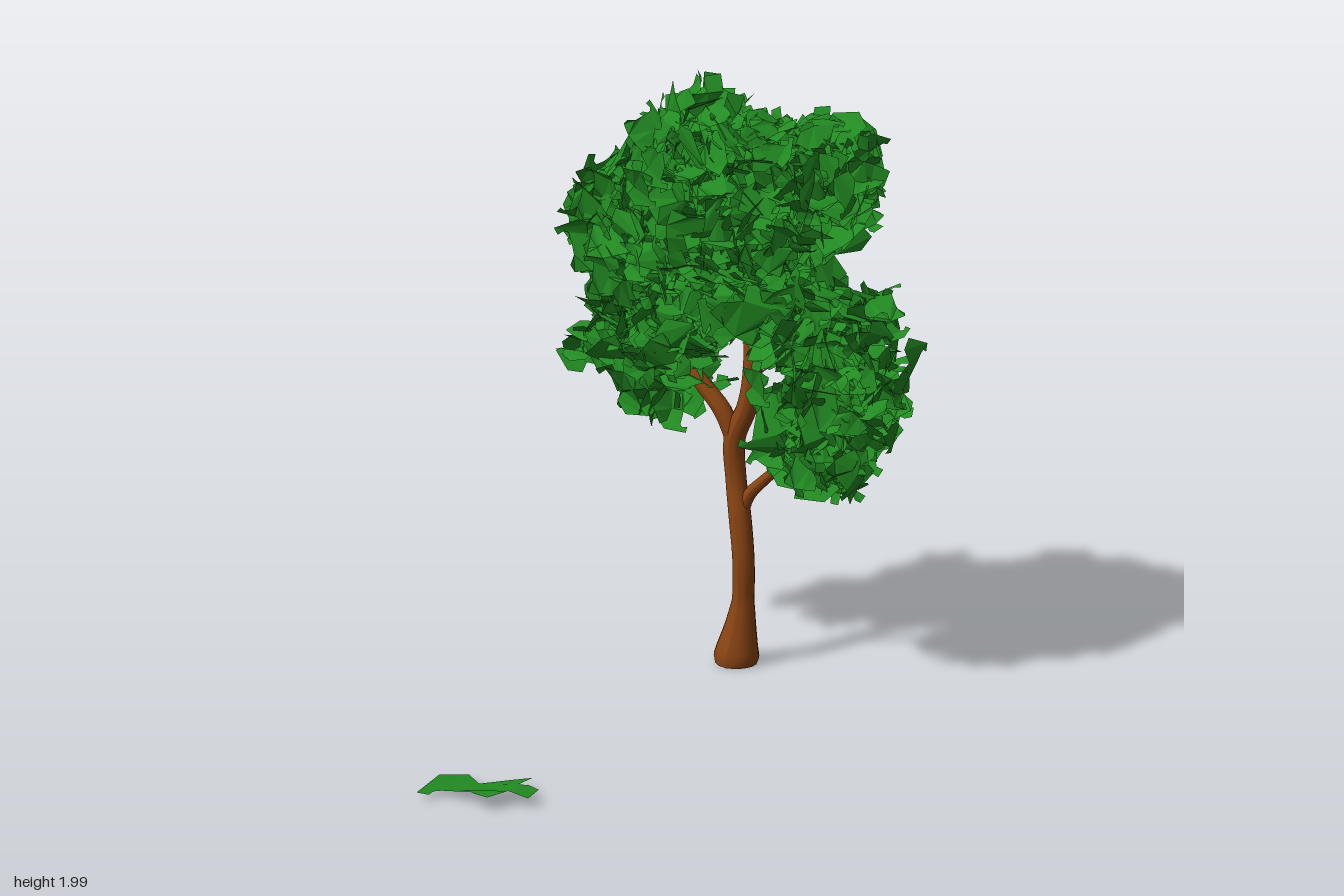
import * as THREE from 'three';
import { mergeGeometries } from 'three/addons/utils/BufferGeometryUtils.js';

const TREE_Z = -0.75;
const bark = new THREE.MeshStandardMaterial({ color: 0x8b4513 });
const green = new THREE.MeshStandardMaterial({ color: 0x228b22, side: THREE.DoubleSide, flatShading: true });

// Small seeded generator
let seed = 11;
function rand() {
  seed = (seed * 1664525 + 1013904223) % 4294967296;
  return seed / 4294967296;
}
const spread = (a) => (rand() * 2 - 1) * a;

// Tapered limb: each point is [x, y, z offset, radius]
function limb(name, pts) {
  const curve = new THREE.CatmullRomCurve3(pts.map((p) => new THREE.Vector3(p[0], p[1], TREE_Z + p[2])));
  const rings = pts.length * 5, sides = 14;
  const geo = new THREE.TubeGeometry(curve, rings, 1, sides);
  const pos = geo.attributes.position, v = new THREE.Vector3();
  for (let i = 0; i <= rings; i++) {
    const centre = curve.getPointAt(i / rings);
    const t = curve.getUtoTmapping(i / rings) * (pts.length - 1);
    const k = Math.min(Math.floor(t), pts.length - 2);
    const r = THREE.MathUtils.lerp(pts[k][3], pts[k + 1][3], t - k);
    for (let j = 0; j <= sides; j++) {
      const n = i * (sides + 1) + j;
      v.fromBufferAttribute(pos, n).sub(centre).multiplyScalar(r).add(centre);
      pos.setXYZ(n, v.x, Math.max(0, v.y), v.z);
    }
  }
  geo.computeVertexNormals();
  const mesh = new THREE.Mesh(geo, bark);
  mesh.name = name;
  return mesh;
}

// Jagged leaf spray lying in the xz plane, creased along its length
const sprayOutline = [
  [-0.18, -0.03], [-0.11, -0.10], [-0.05, -0.06], [0.03, -0.125], [0.11, -0.125], [0.11, -0.03],
  [0.14, -0.045], [0.18, -0.04], [0.18, 0.03], [0.11, 0.035], [0.08, 0.12], [0.03, 0.12],
  [-0.01, 0.08], [-0.06, 0.07], [-0.12, 0.06], [-0.14, 0.08], [-0.135, 0.12], [-0.18, 0.12],
];
function leafSpray(bend) {
  const shape = new THREE.Shape(sprayOutline.map(([x, z]) => new THREE.Vector2(x, -z)));
  const geo = new THREE.ShapeGeometry(shape).rotateX(-Math.PI / 2);
  const pos = geo.attributes.position;
  for (let i = 0; i < pos.count; i++) {
    pos.setY(i, bend * Math.sin(pos.getX(i) * 17 + pos.getZ(i) * 9));
  }
  return geo;
}

// Front outline of the crown
const crown = [
  [-0.66, 0.98], [-0.57, 1.1], [-0.54, 1.27], [-0.61, 1.38], [-0.6, 1.52], [-0.53, 1.68], [-0.4, 1.66],
  [-0.37, 1.8], [-0.22, 1.96], [-0.12, 2.0], [0.0, 1.96], [0.09, 1.84], [0.3, 1.9], [0.49, 1.86],
  [0.51, 1.64], [0.49, 1.47], [0.35, 1.43], [0.29, 1.38], [0.43, 1.33], [0.56, 1.27], [0.65, 1.05],
  [0.56, 0.86], [0.45, 0.61], [0.07, 0.62], [0.09, 1.0], [0.06, 1.12], [-0.02, 1.12], [-0.02, 0.95],
  [-0.14, 0.84], [-0.15, 0.76], [-0.38, 0.77], [-0.48, 0.9],
];
function inCrown(x, y, z) {
  const depth = 0.2 - 0.1 * Math.max(0, Math.abs(x) - 0.45) - 0.25 * Math.max(0, y - 1.85);
  if (Math.abs(z - TREE_Z) > depth) return false;
  let inside = false;
  crown.forEach(([ax, ay], i) => {
    const [bx, by] = crown[(i + 1) % crown.length];
    if ((ay > y) !== (by > y) && x < ax + ((y - ay) * (bx - ax)) / (by - ay)) inside = !inside;
  });
  return inside;
}

// Sprays at random angles, kept where every corner stays inside the crown
function foliage() {
  const kept = [], m = new THREE.Matrix4(), q = new THREE.Quaternion();
  for (let tries = 0; tries < 60000 && kept.length < 950; tries++) {
    const x = spread(0.66), y = 0.6 + rand() * 1.4, z = TREE_Z + spread(0.2);
    if (!inCrown(x, y, z)) continue;
    q.setFromEuler(new THREE.Euler(spread(Math.PI), spread(Math.PI), spread(Math.PI)));
    const s = 0.4 + rand() * 0.4;
    m.compose(new THREE.Vector3(x, y, z), q, new THREE.Vector3(s, s, s));
    const geo = leafSpray(0.035).applyMatrix4(m), p = geo.attributes.position;
    let ok = true;
    for (let i = 0; ok && i < p.count; i++) ok = inCrown(p.getX(i), p.getY(i), p.getZ(i));
    if (ok) kept.push(geo);
  }
  const mesh = new THREE.Mesh(mergeGeometries(kept), green);
  mesh.name = 'foliage';
  return mesh;
}

export function createModel() {
  seed = 11;
  const group = new THREE.Group();
  group.name = 'tree';

  // Trunk with flared foot, running on into the main upright
  group.add(limb('trunk', [
    [-0.015, 0, 0, 0.068], [-0.013, 0.03, 0, 0.075], [0, 0.12, 0, 0.053], [0.012, 0.22, 0.002, 0.036],
    [0.018, 0.35, 0.01, 0.036], [0.002, 0.5, 0.005, 0.037], [-0.018, 0.62, -0.005, 0.034],
    [-0.02, 0.76, 0, 0.036], [0.025, 0.87, 0, 0.034], [0.045, 0.98, 0, 0.033],
    [0.045, 1.15, 0, 0.03], [0.02, 1.4, 0, 0.022], [-0.05, 1.75, 0, 0.008],
  ]));
  const foot = new THREE.Mesh(new THREE.CircleGeometry(0.07, 14), bark);
  foot.name = 'trunkFoot';
  foot.rotation.x = Math.PI / 2;
  foot.position.set(-0.015, 0.002, TREE_Z);
  group.add(foot);

  // Branches
  group.add(limb('rightBranch', [
    [-0.015, 0.74, 0, 0.03], [-0.06, 0.85, 0.01, 0.03], [-0.14, 0.94, 0.015, 0.026],
    [-0.25, 1.08, 0.01, 0.02], [-0.38, 1.35, 0, 0.008],
  ]));
  group.add(limb('leftLowBranch', [
    [0, 0.48, 0, 0.022], [0.03, 0.57, 0, 0.021], [0.09, 0.635, 0, 0.018],
    [0.2, 0.74, 0, 0.015], [0.3, 0.95, 0, 0.012], [0.42, 1.1, 0, 0.006],
  ]));
  group.add(limb('leftUpperBranch', [
    [0.045, 1.08, 0, 0.024], [0.09, 1.3, 0, 0.018], [0.16, 1.5, 0, 0.013], [0.32, 1.72, 0, 0.006],
  ]));

  group.add(foliage());

  // Spray fallen on the ground in front
  const fallen = new THREE.Mesh(leafSpray(0.016), green);
  fallen.name = 'fallenSpray';
  fallen.position.set(-0.05, 0.036, 0.847);
  group.add(fallen);
  return group;
}
